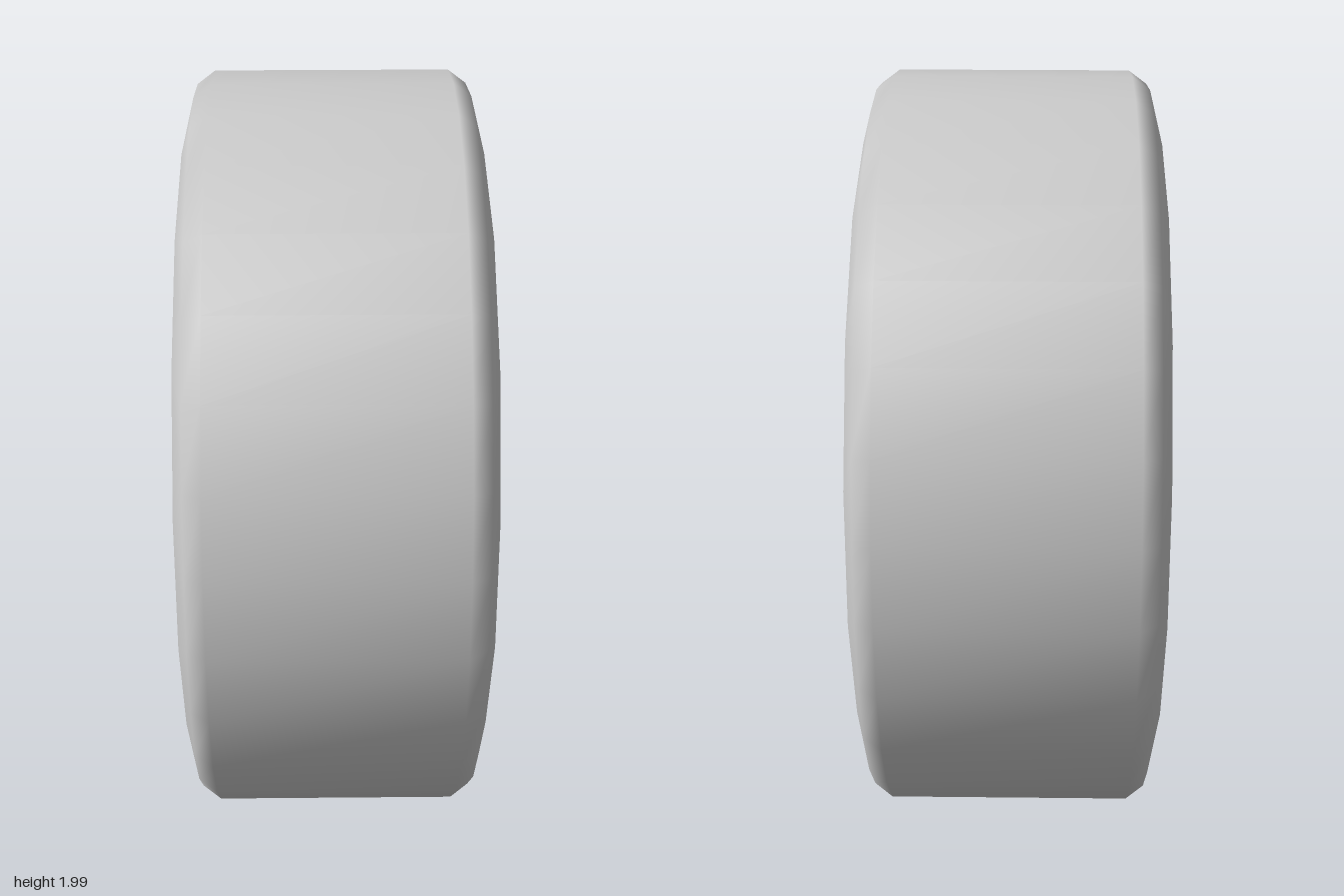
import * as THREE from 'three';
import { mergeGeometries } from 'three/addons/utils/BufferGeometryUtils.js';

const grey = new THREE.MeshStandardMaterial({ color: 0xcccccc });
grey.name = 'light grey';

// Sharp-edged surface of revolution about x; the profile is [radius, x] pairs
function turned(profile, sides) {
  const bands = [];
  for (let i = 0; i < profile.length - 1; i++) {
    const pts = [profile[i], profile[i + 1]].map(([r, x]) => new THREE.Vector2(r, x));
    bands.push(new THREE.LatheGeometry(pts, sides, -Math.PI / 2));
  }
  return mergeGeometries(bands).rotateZ(-Math.PI / 2);
}

// Smooth tread and shoulders: 30-sided rings closing to 15-sided sidewall rings
function treadGeometry() {
  const pos = [], idx = [];
  const ring = (x, r, n, start) => {
    const base = pos.length / 3;
    for (let i = 0; i < n; i++) {
      const a = THREE.MathUtils.degToRad(start + (360 / n) * i);
      pos.push(x, r * Math.sin(a), r * Math.cos(a));
    }
    return i => base + (i % n);
  };
  const wallL = ring(-0.387, 0.845, 15, 90);
  const rings = [[-0.357, 0.965], [-0.31, 1], [0.31, 1], [0.357, 0.965]]
    .map(([x, r]) => ring(x, r, 30, 84));
  const wallR = ring(0.387, 0.845, 15, 90);
  for (let s = 0; s < 3; s++) {
    const l = rings[s], r = rings[s + 1];
    for (let j = 0; j < 30; j++) idx.push(l(j), r(j), r(j + 1), l(j), r(j + 1), l(j + 1));
  }
  const shoulder = (b, a, flip) => {
    for (let k = 0; k < 15; k++) {
      const tris = [
        [b(2 * k), a(k), b(2 * k + 1)],
        [b(2 * k + 1), a(k), a(k + 1)],
        [b(2 * k + 1), a(k + 1), b(2 * k + 2)],
      ];
      for (const t of tris) idx.push(...(flip ? t.reverse() : t));
    }
  };
  shoulder(rings[3], wallR, false);
  shoulder(rings[0], wallL, true);
  const g = new THREE.BufferGeometry();
  g.setAttribute('position', new THREE.Float32BufferAttribute(pos, 3));
  g.setIndex(idx);
  g.computeVertexNormals();
  return g;
}

// Ten tapering spokes with rounded gaps between them
function spokeGeometry() {
  const shape = new THREE.Shape();
  const step = Math.PI / 5;
  const at = (r, a) => [r * Math.cos(a), r * Math.sin(a)];
  for (let i = 0; i < 10; i++) {
    const spoke = Math.PI / 2 + i * step, gap = spoke + step / 2;
    if (i === 0) shape.moveTo(...at(0.415, spoke - 0.09));
    else shape.lineTo(...at(0.415, spoke - 0.09));
    shape.lineTo(...at(0.415, spoke + 0.09));
    shape.lineTo(...at(0.275, gap - 0.115));
    shape.bezierCurveTo(...at(0.235, gap - 0.13), ...at(0.235, gap + 0.13), ...at(0.275, gap + 0.115));
  }
  shape.closePath();
  shape.holes.push(new THREE.Path().absarc(0, 0, 0.2, 0, Math.PI * 2, true));
  return new THREE.ExtrudeGeometry(shape, { depth: 0.05, bevelEnabled: false, curveSegments: 10 })
    .rotateY(Math.PI / 2).translate(0.2, 0, 0);
}

export function createModel() {
  const model = new THREE.Group();
  const wheel = new THREE.Group();
  wheel.name = 'wheel';
  wheel.position.y = 0.9945;
  model.add(wheel);
  const add = (name, geometry, parent = wheel) => {
    const mesh = new THREE.Mesh(geometry, grey);
    mesh.name = name;
    parent.add(mesh);
    return mesh;
  };

  // Tyre
  add('tyreTread', treadGeometry());
  add('tyreSidewalls', turned([[0.845, 0.387], [0.45, 0.29], [0.45, -0.29], [0.845, -0.387]], 15));

  // Rim lip and short barrel
  add('rim', turned([[0.545, 0.29], [0.545, 0.322], [0.53, 0.335], [0.415, 0.335],
    [0.403, 0.32], [0.403, 0.17], [0.46, 0.17]], 30));

  // Spokes and recessed hub
  add('spokes', spokeGeometry());
  add('hubCup', turned([[0.2, 0.25], [0.175, 0.17], [0.13, 0.17], [0.13, 0.14],
    [0.21, 0.14], [0.21, 0.2]], 30));

  // Five wheel nuts, each with a stud
  for (let i = 0; i < 5; i++) {
    const a = -Math.PI / 2 + (i * Math.PI * 2) / 5;
    const nut = new THREE.Group();
    nut.name = 'wheelNut';
    nut.position.set(0, 0.162 * Math.sin(a), 0.162 * Math.cos(a));
    wheel.add(nut);
    const cyl = (r, sides, x0, x1) =>
      new THREE.CylinderGeometry(r, r, x1 - x0, sides).toNonIndexed()
        .rotateZ(-Math.PI / 2).translate((x0 + x1) / 2, 0, 0);
    const hex = cyl(0.044, 6, 0.165, 0.215);
    hex.computeVertexNormals();
    add('hexNut', hex, nut);
    add('stud', cyl(0.024, 8, 0.2, 0.24), nut);
  }

  // Valve stem
  const valve = add('valveStem', new THREE.CylinderGeometry(0.008, 0.008, 0.05, 8));
  valve.position.set(0.26, 0.225, 0.315);
  valve.quaternion.setFromUnitVectors(new THREE.Vector3(0, 1, 0),
    new THREE.Vector3(0.4, 0.225, 0.315).normalize());
  return model;
}
